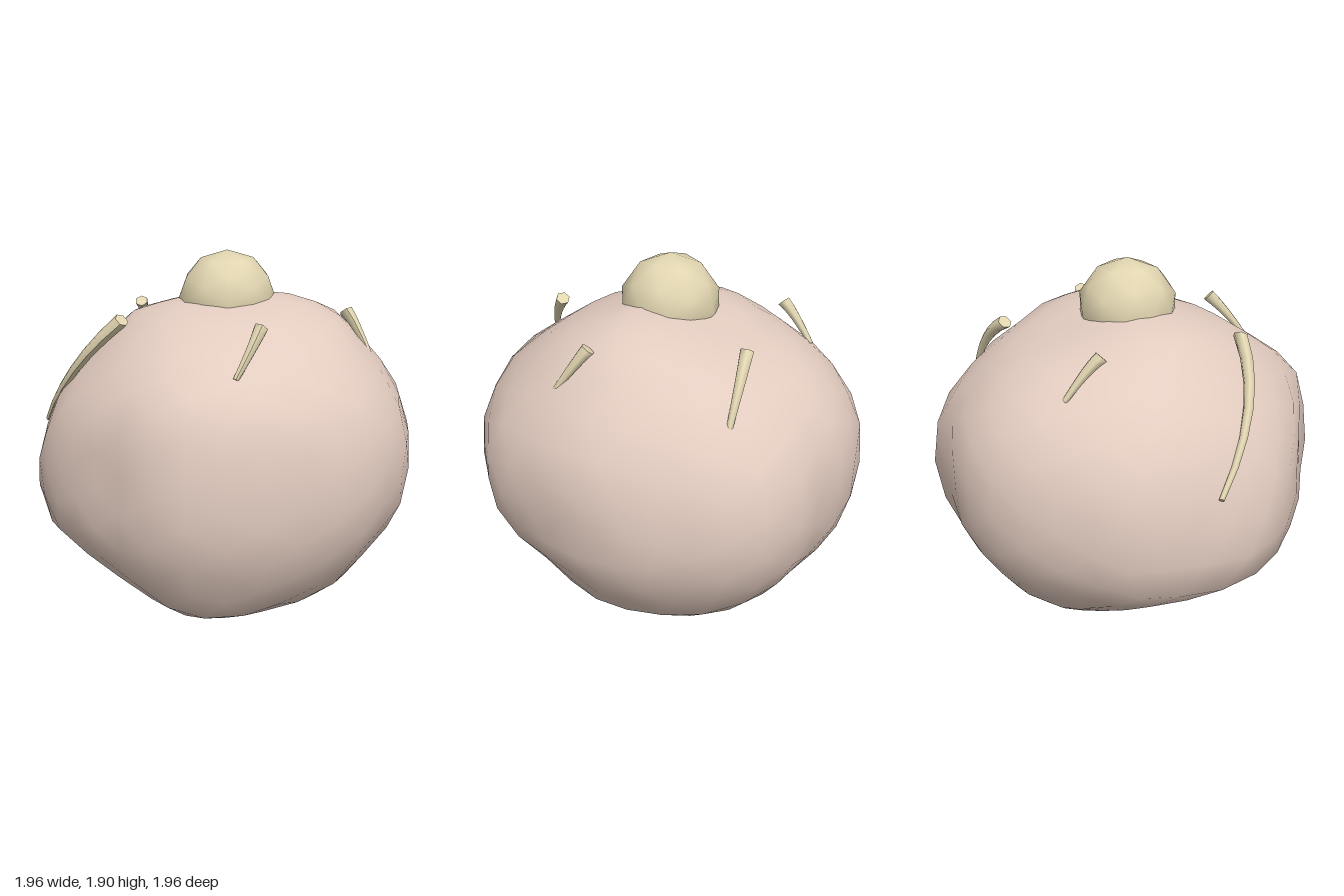
import * as THREE from 'three';
import { mergeVertices } from 'three/addons/utils/BufferGeometryUtils.js';

const CENTRE_Y = 0.87;
const V = (x, y, z) => new THREE.Vector3(x, y, z);

// Closed outline -> distance from its centre to its edge towards (a, b)
function outline(points, cy) {
  const ring = points.map(([a, y]) => ({ a, b: y - cy, t: Math.atan2(y - cy, a) }));
  ring.sort((p, q) => p.t - q.t);
  return (a, b) => {
    const t = Math.atan2(b, a);
    const next = ring.findIndex((p) => p.t > t);
    const q = ring[Math.max(next, 0)], p = ring[next <= 0 ? ring.length - 1 : next - 1];
    const ea = q.a - p.a, eb = q.b - p.b;
    return Math.hypot(a, b) * (p.a * eb - p.b * ea) / (a * eb - b * ea);
  };
}

// Lumpy body outlines seen along z, x and y
const outlineXY = outline([
  [0.28, 1.72], [0.58, 1.63], [0.88, 1.32], [1, 1.08], [0.95, 0.87], [0.96, 0.63], [0.7, 0.23],
  [0.49, 0.08], [0.23, 0], [-0.05, 0.03], [-0.32, 0.13], [-0.91, 0.47], [-1, 0.64], [-0.91, 1.1],
  [-0.82, 1.31], [-0.45, 1.62], [-0.18, 1.69]], CENTRE_Y);
const outlineZY = outline([
  [0, 1.72], [0.43, 1.61], [0.91, 1.31], [0.97, 1.1], [1, 0.87], [0.98, 0.61], [0.77, 0.26],
  [0.5, 0.13], [-0.15, 0], [-0.46, 0.06], [-0.72, 0.22], [-0.97, 0.62], [-1, 1.11],
  [-0.88, 1.31], [-0.68, 1.49]], CENTRE_Y);
const outlineXZ = outline([
  [-0.12, -1], [0.17, -0.96], [0.34, -1], [0.65, -0.86], [0.9, -0.44], [1, -0.16], [0.95, 0.3],
  [0.93, 0.47], [0.63, 0.82], [0.17, 0.97], [-0.3, 1], [-0.66, 0.68], [-0.87, 0.4], [-1, 0.15],
  [-0.88, -0.46], [-0.57, -0.81], [-0.3, -0.97]], 0);

// Shallow hollows (negative depth swells): direction, depth
const hollows = [
  [V(-0.55, 0.08, 0.78), 0.05],
  [V(0.75, -0.4, 0.38), 0.03],
  [V(-0.75, 0.47, 0.2), 0.03],
  [V(0.35, 0.48, -0.73), 0.03],
  [V(0.79, 0.2, -0.45), 0.02],
  [V(0.1, -0.69, -0.65), 0.03],
  [V(-0.17, -0.71, 0.75), -0.03],
].map(([dir, depth]) => [dir.normalize(), depth]);

function smoothBall(radius, detail) {
  const geo = new THREE.IcosahedronGeometry(radius, detail);
  geo.deleteAttribute('uv');
  geo.deleteAttribute('normal');
  return mergeVertices(geo, 1e-4);
}

function bodyGeometry() {
  const geo = smoothBall(1, 5);
  const pos = geo.attributes.position;
  const d = V(0, 0, 0);
  for (let i = 0; i < pos.count; i++) {
    d.fromBufferAttribute(pos, i).normalize();
    // Each outline counts most near its own plane, and none may be exceeded
    let sum = 0, weights = 0, limit = Infinity;
    for (const [edge, a, b] of [[outlineXY, d.x, d.y], [outlineZY, d.z, d.y], [outlineXZ, d.x, d.z]]) {
      const reach = Math.hypot(a, b);
      if (reach < 0.05) continue;
      const radius = edge(a, b), weight = 1 / (1 - reach * reach + 0.02);
      sum += weight * radius;
      weights += weight;
      limit = Math.min(limit, radius / reach);
    }
    let r = Math.min(sum / weights, limit);
    for (const [dir, depth] of hollows) r -= depth * Math.exp(-12 * d.distanceToSquared(dir));
    pos.setXYZ(i, d.x * r, d.y * r + CENTRE_Y, d.z * r);
  }
  geo.computeVertexNormals();
  return geo;
}

// Tapered six-sided spine bent along a curve
function spineGeometry(start, middle, end) {
  const geo = new THREE.CylinderGeometry(0.036, 0.015, 1, 6, 6);
  const control = middle.clone().multiplyScalar(2).addScaledVector(start, -0.5).addScaledVector(end, -0.5);
  const curve = new THREE.QuadraticBezierCurve3(start, control, end);
  const turn = new THREE.Quaternion().setFromUnitVectors(V(0, 1, 0), start.clone().sub(end).normalize());
  const pos = geo.attributes.position;
  for (let i = 0; i < pos.count; i++) {
    const offset = V(pos.getX(i), 0, pos.getZ(i)).applyQuaternion(turn);
    const p = curve.getPoint(0.5 - pos.getY(i)).add(offset);
    pos.setXYZ(i, p.x, p.y, p.z);
  }
  geo.computeVertexNormals();
  return geo;
}

export function createModel() {
  const model = new THREE.Group();
  model.name = 'lumpyBulb';
  const skin = new THREE.MeshStandardMaterial({ color: 0xe2cbbf });
  skin.name = 'dusty pink skin';
  const cream = new THREE.MeshStandardMaterial({ color: 0xe2d6b1 });
  cream.name = 'pale cream';
  const add = (name, geo, mat) => {
    const mesh = new THREE.Mesh(geo, mat);
    mesh.name = name;
    model.add(mesh);
    return mesh;
  };

  add('body', bodyGeometry(), skin);

  // Round knob on the crown
  const knob = smoothBall(0.255, 1);
  knob.computeVertexNormals();
  add('topKnob', knob, cream).position.set(0.025, 1.665, 0);

  // Ring of five spines around the crown
  const spines = [
    ['frontSpine', V(0.17, 1.61, 0.59), V(0.12, 1.52, 0.67), V(0.05, 1.4, 0.75)],
    ['rightSpine', V(-0.49, 1.61, 0.34), V(-0.75, 1.34, 0.22), V(-0.94, 1.02, -0.04)],
    ['backRightSpine', V(-0.45, 1.61, -0.39), V(-0.44, 1.54, -0.47), V(-0.43, 1.42, -0.57)],
    ['backLeftSpine', V(0.25, 1.61, -0.58), V(0.4, 1.49, -0.63), V(0.52, 1.3, -0.65)],
    ['leftSpine', V(0.64, 1.61, 0.03), V(0.69, 1.53, 0.08), V(0.75, 1.4, 0.16)],
  ];
  for (const [name, start, middle, end] of spines) add(name, spineGeometry(start, middle, end), cream);
  return model;
}
